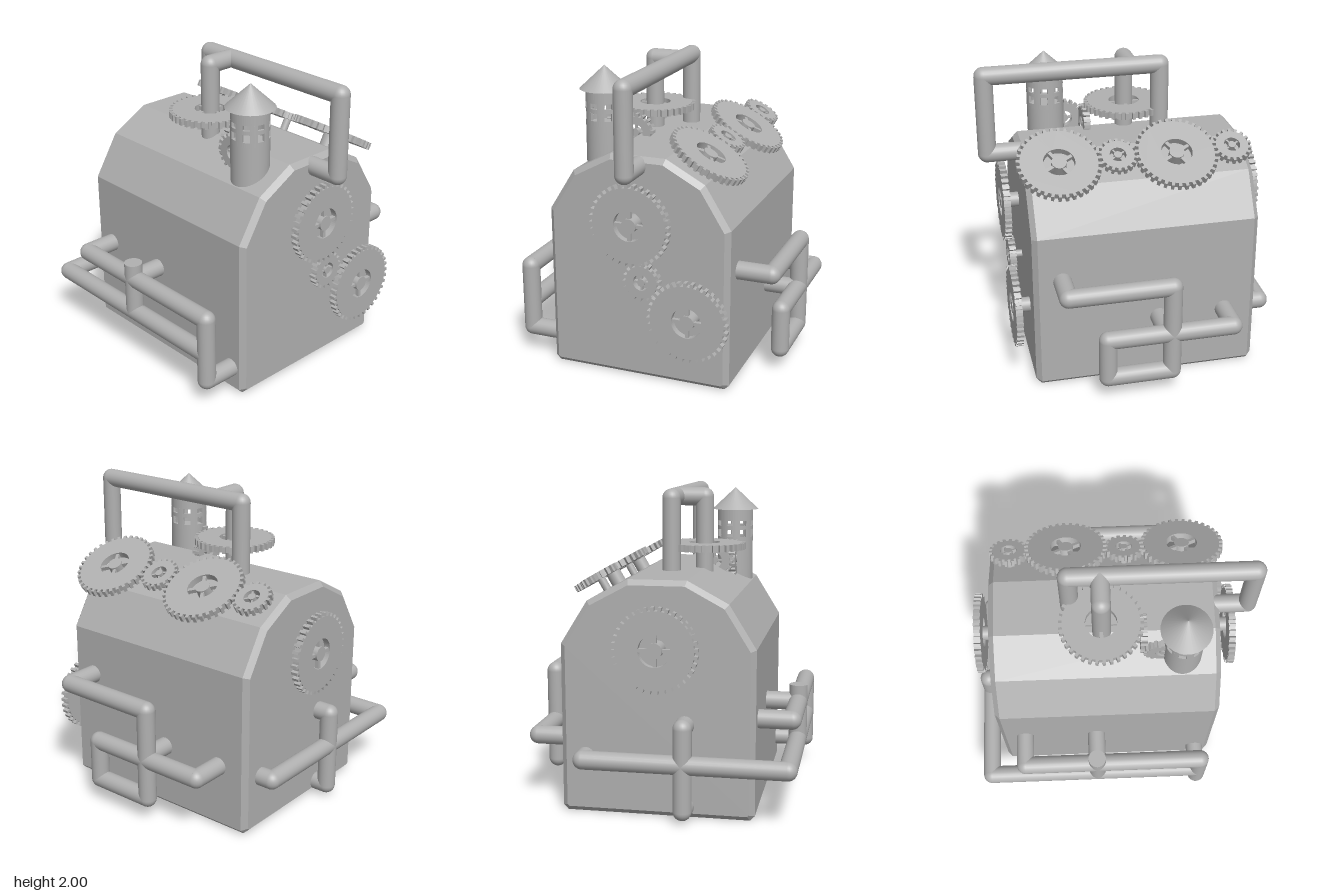
import * as THREE from 'three';

const steel = new THREE.MeshStandardMaterial({ color: 0xb0b0b0 });
steel.name = 'grey steel';
const V = (x, y, z) => new THREE.Vector3(x, y, z);
const Z = V(0, 0, 1);
const PIPE = 0.059;

function add(parent, geometry, name, x = 0, y = 0, z = 0) {
  const mesh = new THREE.Mesh(geometry, steel);
  mesh.name = name;
  mesh.position.set(x, y, z);
  parent.add(mesh);
  return mesh;
}

// Straight round bar between two points
function bar(parent, a, b, radius, name) {
  const d = b.clone().sub(a);
  const mesh = add(parent, new THREE.CylinderGeometry(radius, radius, d.length(), 24), name);
  mesh.position.copy(a).add(b).multiplyScalar(0.5);
  mesh.quaternion.setFromUnitVectors(V(0, 1, 0), d.normalize());
}

// Pipe run through points, with rounded elbows
function pipe(parent, name, points) {
  const group = new THREE.Group();
  group.name = name;
  const p = points.map((q) => V(...q));
  for (let i = 1; i < p.length; i++) {
    bar(group, p[i - 1], p[i], PIPE, 'pipeLength');
    if (i < p.length - 1) {
      add(group, new THREE.SphereGeometry(PIPE, 24, 16), 'elbow', ...points[i]);
    }
  }
  parent.add(group);
}

// Toothed wheel facing the given normal, with spokes and a shaft behind it
function gear(parent, name, center, normal, large, shaft) {
  const [outer, root, bore, hub, teeth] = large
    ? [0.266, 0.243, 0.1, 0.048, 36] : [0.125, 0.105, 0.052, 0.025, 18];
  const depth = 0.044;
  const group = new THREE.Group();
  group.name = name;
  const outline = [];
  const step = (Math.PI * 2) / teeth;
  for (let i = 0; i < teeth; i++) {
    for (const [t, r] of [[0, root], [0.04, outer], [0.46, outer], [0.5, root]]) {
      const a = (i + t) * step;
      outline.push(new THREE.Vector2(Math.cos(a) * r, Math.sin(a) * r));
    }
  }
  const shape = new THREE.Shape(outline);
  shape.holes.push(new THREE.Path().absarc(0, 0, bore, 0, Math.PI * 2, true));
  const rim = new THREE.ExtrudeGeometry(shape, { depth, bevelEnabled: false, curveSegments: 28 });
  add(group, rim, 'toothedRim', 0, 0, -depth / 2);
  for (let i = 0; i < 2; i++) {
    const spoke = add(group, new THREE.BoxGeometry(bore * 2.04, bore * 0.22, depth * 0.6), 'spokes');
    spoke.rotation.z = (i * Math.PI) / 2;
  }
  bar(group, V(0, 0, -depth / 2 - shaft), V(0, 0, depth / 2), hub, 'shaft');
  group.position.set(...center);
  group.quaternion.setFromUnitVectors(Z, V(...normal).normalize());
  parent.add(group);
}

// Ring-shaped wall segment standing on y
function arcWall(parent, name, r0, r1, a0, a1, y0, y1) {
  const s = new THREE.Shape();
  s.absarc(0, 0, r1, a0, a1, false);
  if (a1 - a0 > 6) s.holes.push(new THREE.Path().absarc(0, 0, r0, a0, a1, true));
  else s.absarc(0, 0, r0, a1, a0, true);
  const g = new THREE.ExtrudeGeometry(s, {
    depth: y1 - y0, bevelEnabled: false, curveSegments: a1 - a0 > 6 ? 32 : 4,
  });
  g.rotateX(-Math.PI / 2);
  add(parent, g, name, 0, y0, 0);
}

export function createModel() {
  const model = new THREE.Group();
  model.name = 'gearMachine';

  // Housing: bevelled barn-shaped block
  const half = [[0.578, 0], [0.608, 0.03], [0.608, 1.07], [0.439, 1.342], [0.183, 1.48]];
  const profile = [...half, ...half.slice().reverse().map(([x, y]) => [-x, y])];
  const bevel = 0.033;
  const housing = new THREE.ExtrudeGeometry(
    new THREE.Shape(profile.map(([x, y]) => new THREE.Vector2(x, y))),
    {
      depth: 1.466 - 2 * bevel, bevelEnabled: true, bevelSegments: 1,
      bevelSize: bevel, bevelOffset: -bevel, bevelThickness: bevel,
    });
  add(model, housing, 'housing', -0.005, 0, -0.783 + bevel);

  // Gears on the front and back walls
  gear(model, 'frontUpperGear', [-0.01, 1.072, 0.78], [0, 0, 1], true, 0.1);
  gear(model, 'frontSmallGear', [0.058, 0.7, 0.752], [0, 0, 1], false, 0.07);
  gear(model, 'frontLowerGear', [0.37, 0.488, 0.78], [0, 0, 1], true, 0.1);
  gear(model, 'backGear', [-0.014, 1.07, -0.873], [0, 0, -1], true, 0.09);

  // Row of gears along the sloping roof
  const slope = [0.5, 0.866, 0];
  for (const z of [0.469, -0.28]) {
    gear(model, 'roofLargeGear', [0.394, 1.476, z], slope, true, 0.12);
  }
  for (const z of [0.095, -0.648]) {
    gear(model, 'roofSmallGear', [0.377, 1.485, z], slope, false, 0.12);
  }

  // Gear train joining the roof pipe and the tower
  gear(model, 'roofFlatGear', [-0.184, 1.623, -0.07], [0, 1, 0], true, 0.15);
  gear(model, 'uprightGear', [-0.21, 1.497, 0.193], [0, 0, 1], false, 0);
  gear(model, 'towerGear', [-0.325, 1.497, 0.312], [1, 0, 0], false, 0);

  // Tower with two rows of window openings and a conical roof
  const tower = new THREE.Group();
  tower.name = 'tower';
  const r = 0.122, inner = 0.105, full = Math.PI * 2;
  add(tower, new THREE.CylinderGeometry(r, r, 0.33, 32), 'towerBase', 0, 1.445, 0);
  for (const [y0, y1] of [[1.61, 1.642], [1.692, 1.718], [1.752, 1.84]]) {
    arcWall(tower, 'towerBand', inner, r, 0, full, y0, y1);
  }
  for (const [y0, y1] of [[1.642, 1.692], [1.718, 1.752]]) {
    for (let i = 0; i < 8; i++) {
      const a = (i * Math.PI) / 4;
      arcWall(tower, 'windowPier', inner, r, a, a + Math.PI / 8, y0, y1);
    }
  }
  add(tower, new THREE.ConeGeometry(0.158, 0.148, 32), 'towerRoof', 0, 1.904, 0);
  tower.position.set(-0.317, 0, 0.438);
  model.add(tower);

  // Overhead pipes
  pipe(model, 'overheadPipe', [
    [0, 1.421, 0.6], [0, 1.421, 0.87], [0, 1.941, 0.87], [0, 1.941, -0.265], [0, 1.4, -0.265]]);
  pipe(model, 'overheadBranch', [[0, 1.941, -0.068], [-0.184, 1.941, -0.068], [-0.184, 1.4, -0.068]]);

  // Pipes on the +x wall
  const lx = 0.818;
  pipe(model, 'leftUpperPipe', [
    [0.55, 0.764, 0.5], [lx, 0.764, 0.5], [lx, 0.764, -0.164], [lx, 0.153, -0.164],
    [lx, 0.153, 0.254], [lx, 0.427, 0.254], [lx, 0.427, -0.568], [0.55, 0.427, -0.568]]);
  pipe(model, 'leftStub', [[0.55, 0.427, -0.13], [lx, 0.427, -0.13]]);

  // Pipes on the -x wall
  const rx = -0.82;
  pipe(model, 'rightUpperPipe', [
    [-0.55, 0.615, -0.616], [rx, 0.615, -0.616], [rx, 0.615, 0.577],
    [rx, 0.175, 0.577], [-0.55, 0.175, 0.577]]);
  pipe(model, 'rightStub', [[-0.55, 0.615, -0.126], [rx, 0.615, -0.126]]);
  pipe(model, 'rightRiser', [[rx, 0.366, -0.126], [rx, 0.73, -0.126]]);

  // Pipes wrapping round the back
  pipe(model, 'backPipe', [
    [0.447, 0.366, -0.72], [0.447, 0.366, -0.868], [rx, 0.366, -0.868], [rx, 0.366, 0.577]]);
  pipe(model, 'backCrossPipe', [
    [-0.18, 0.594, -0.72], [-0.18, 0.594, -0.868], [-0.18, 0.075, -0.868], [-0.18, 0.075, -0.72]]);

  return model;
}
